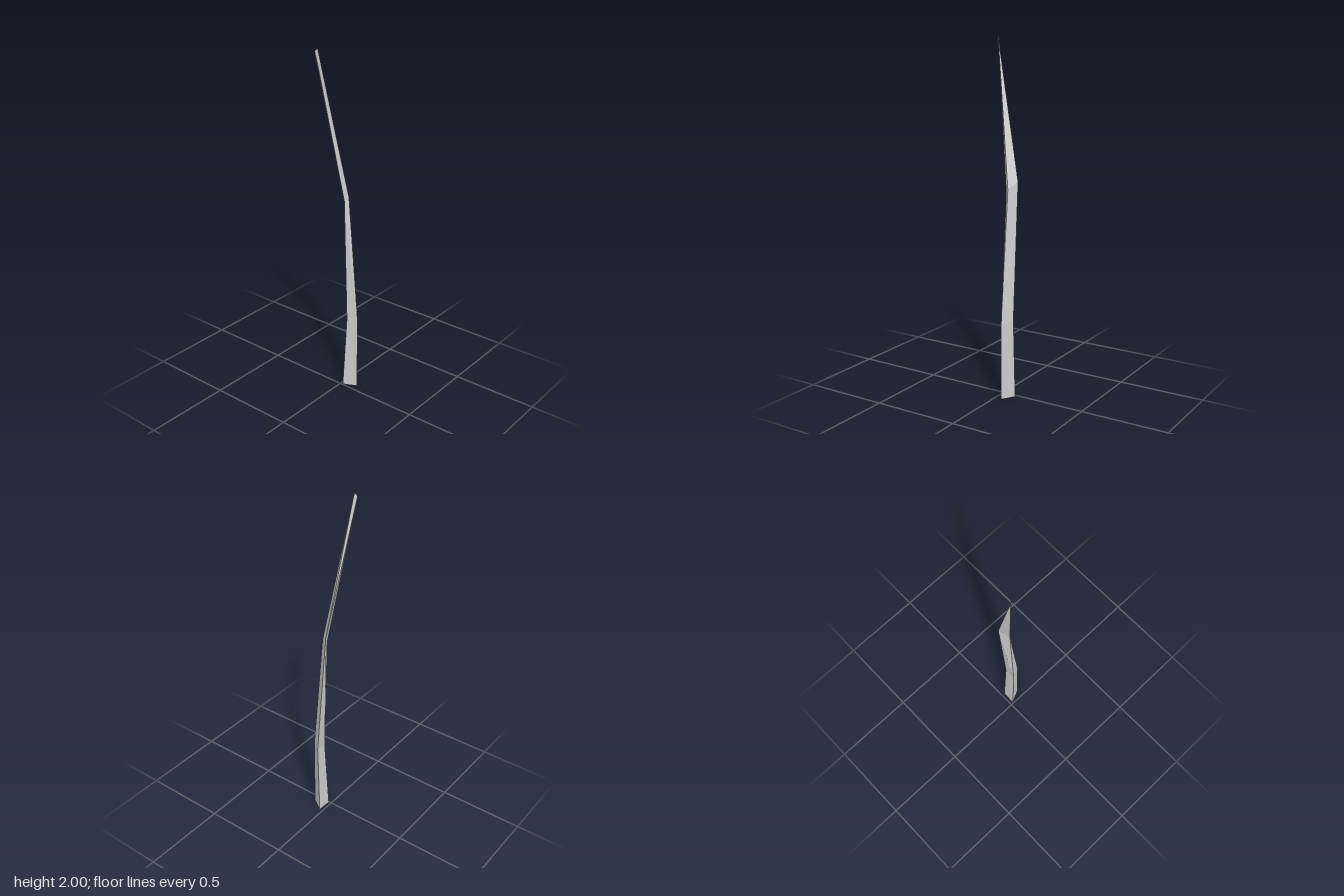
import * as THREE from 'three';

// Triangular cross-sections from the foot to the tip: left edge, front ridge, right edge
const sections = [
  [[0.004, 0, 0.016], [0.042, 0, 0.093], [0.089, 0, 0.02]],
  [[0.017, 0.44, 0.035], [0.042, 0.44, 0.093], [0.085, 0.45, 0.034]],
  [[0.022, 1.16, 0.01], [0.043, 1.18, 0.026], [0.078, 1.22, -0.022]],
  [[-0.09, 1.98, -0.088], [-0.086, 2, -0.077], [-0.092, 1.985, -0.093]],
];

// Joins neighbouring sections with side faces and closes both ends
function loft(rings) {
  const pts = [];
  const tri = (a, b, c) => pts.push(...a, ...b, ...c);
  for (let r = 0; r < rings.length - 1; r++) {
    const lo = rings[r], hi = rings[r + 1];
    for (let i = 0; i < 3; i++) {
      const j = (i + 1) % 3;
      tri(lo[i], lo[j], hi[i]);
      tri(lo[j], hi[j], hi[i]);
    }
  }
  const [a, b, c] = rings[0];
  tri(a, c, b);
  tri(...rings[rings.length - 1]);
  const geometry = new THREE.BufferGeometry();
  geometry.setAttribute('position', new THREE.Float32BufferAttribute(pts, 3));
  geometry.computeVertexNormals();
  return geometry;
}

export function createModel() {
  const group = new THREE.Group();
  group.name = 'grassBlade';
  const material = new THREE.MeshStandardMaterial({
    color: 0xcccccc, flatShading: true, side: THREE.DoubleSide,
  });
  // Bent, tapering stalk
  const blade = new THREE.Mesh(loft(sections), material);
  blade.name = 'blade';
  group.add(blade);
  return group;
}
